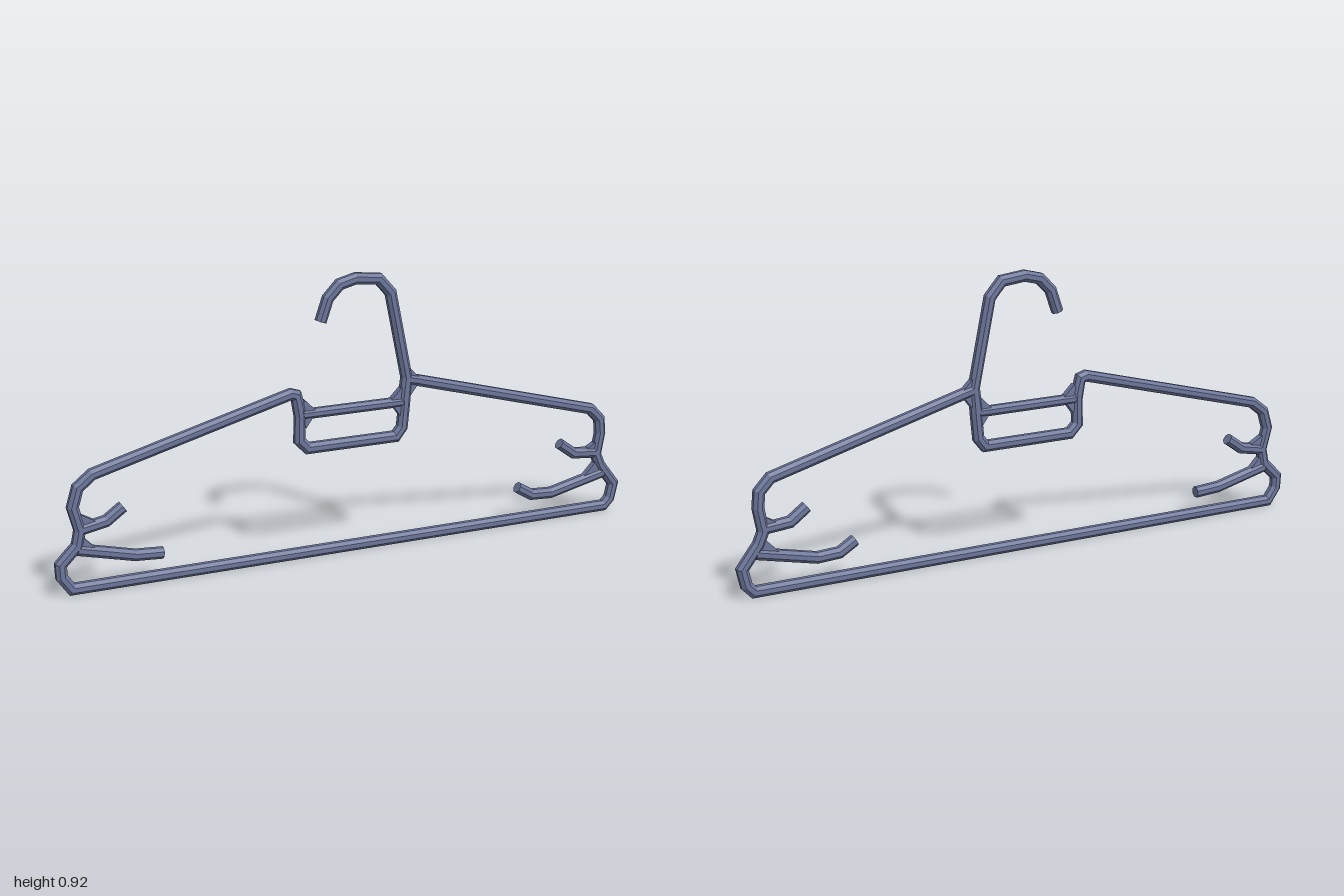
import * as THREE from 'three';

const R = 0.0195, SIDES = 8;

// Faceted rod along a planar polyline, mitred at each bend and capped at both ends
function rod(pts, r = R) {
  const p = pts.map(([x, y]) => new THREE.Vector2(x, y));
  const n = p.length, pos = [], idx = [];
  const dir = i => p[i + 1].clone().sub(p[i]).normalize();
  for (let i = 0; i < n; i++) {
    const a = dir(Math.max(i - 1, 0)), b = dir(Math.min(i, n - 2));
    const t = a.clone().add(b).normalize();
    const w = r / Math.max(t.dot(a), 0.6);
    for (let k = 0; k < SIDES; k++) {
      const ang = (k + 0.5) / SIDES * Math.PI * 2, c = Math.cos(ang) * w;
      pos.push(p[i].x - t.y * c, p[i].y + t.x * c, Math.sin(ang) * r);
    }
  }
  for (let k = 0; k < SIDES; k++) {
    const k2 = (k + 1) % SIDES;
    for (let i = 0; i < n - 1; i++) {
      const a = i * SIDES, b = a + SIDES;
      idx.push(a + k, a + k2, b + k2, a + k, b + k2, b + k);
    }
    const e = (n - 1) * SIDES;
    if (k > 0 && k < SIDES - 1) idx.push(0, k2, k, e, e + k, e + k2);
  }
  const g = new THREE.BufferGeometry();
  g.setAttribute('position', new THREE.Float32BufferAttribute(pos, 3));
  g.setIndex(idx);
  g.computeVertexNormals();
  return g;
}

// Small web filling the corner where rods meet
function web(pts) {
  const shape = new THREE.Shape(pts.map(([x, y]) => new THREE.Vector2(x, y)));
  const g = new THREE.ExtrudeGeometry(shape, { depth: 0.022, bevelEnabled: false });
  return g.translate(0, 0, -0.011);
}

export function createModel() {
  const group = new THREE.Group();
  group.name = 'clothesHanger';
  const plastic = new THREE.MeshStandardMaterial({ color: 0x6c769a, flatShading: true });
  plastic.name = 'slateBluePlastic';
  const add = (name, geometry) => {
    const m = new THREE.Mesh(geometry, plastic);
    m.name = name;
    group.add(m);
  };

  // Hook and its shaft, running down into the bracket
  add('hook', rod([[-0.11, 0.78], [-0.085, 0.852], [-0.045, 0.893], [0.01, 0.907],
    [0.09, 0.898], [0.132, 0.85], [0.19, 0.565], [0.18, 0.49]]));

  // Bracket under the hook
  add('bracket', rod([[0.19, 0.565], [0.183, 0.48], [0.175, 0.4], [0.152, 0.371],
    [-0.157, 0.371], [-0.185, 0.4], [-0.183, 0.48], [-0.193, 0.54]]));
  add('bracketCrossbar', rod([[-0.183, 0.485], [0.183, 0.485]], 0.0175));

  // Shoulders, ends and bottom bar in one continuous loop
  add('frame', rod([[-0.183, 0.5], [-0.196, 0.55], [-0.215, 0.556], [-0.87, 0.382],
    [-0.917, 0.345], [-0.935, 0.285], [-0.915, 0.21], [-0.925, 0.16], [-0.98, 0.105],
    [-0.978, 0.065], [-0.947, 0.021], [0.945, 0.021], [0.968, 0.045], [0.98, 0.098],
    [0.925, 0.17], [0.908, 0.21], [0.922, 0.285], [0.917, 0.335], [0.88, 0.374],
    [0.22, 0.553], [0.19, 0.56]]));

  // Strap prongs
  add('rightUpperProng', rod([[-0.915, 0.21], [-0.83, 0.226], [-0.775, 0.265]]));
  add('rightLowerProng', rod([[-0.925, 0.147], [-0.74, 0.101], [-0.65, 0.095]]));
  add('leftUpperProng', rod([[0.908, 0.217], [0.82, 0.225], [0.765, 0.265]]));
  add('leftLowerProng', rod([[0.935, 0.142], [0.735, 0.096], [0.66, 0.1], [0.607, 0.132]]));

  // Corner webs, mirrored where both sides match
  for (const s of [-1, 1]) {
    const side = s < 0 ? 'right' : 'left';
    const flip = pts => pts.map(([x, y]) => [x * s, y]);
    add(side + 'CrossbarWebTop', web(flip([[0.13, 0.495], [0.185, 0.485], [0.17, 0.535]])));
    add(side + 'CrossbarWebBottom', web(flip([[0.14, 0.475], [0.18, 0.485], [0.165, 0.44]])));
    add(side + 'UpperProngWeb', web(flip([[0.915, 0.262], [0.92, 0.205], [0.85, 0.225]])));
    add(side + 'LowerProngWeb', web(flip([[0.91, 0.19], [0.94, 0.14], [0.86, 0.138]])));
  }
  add('hookBaseWeb', web([[0.185, 0.61], [0.24, 0.555], [0.19, 0.49], [0.175, 0.55]]));

  return group;
}
